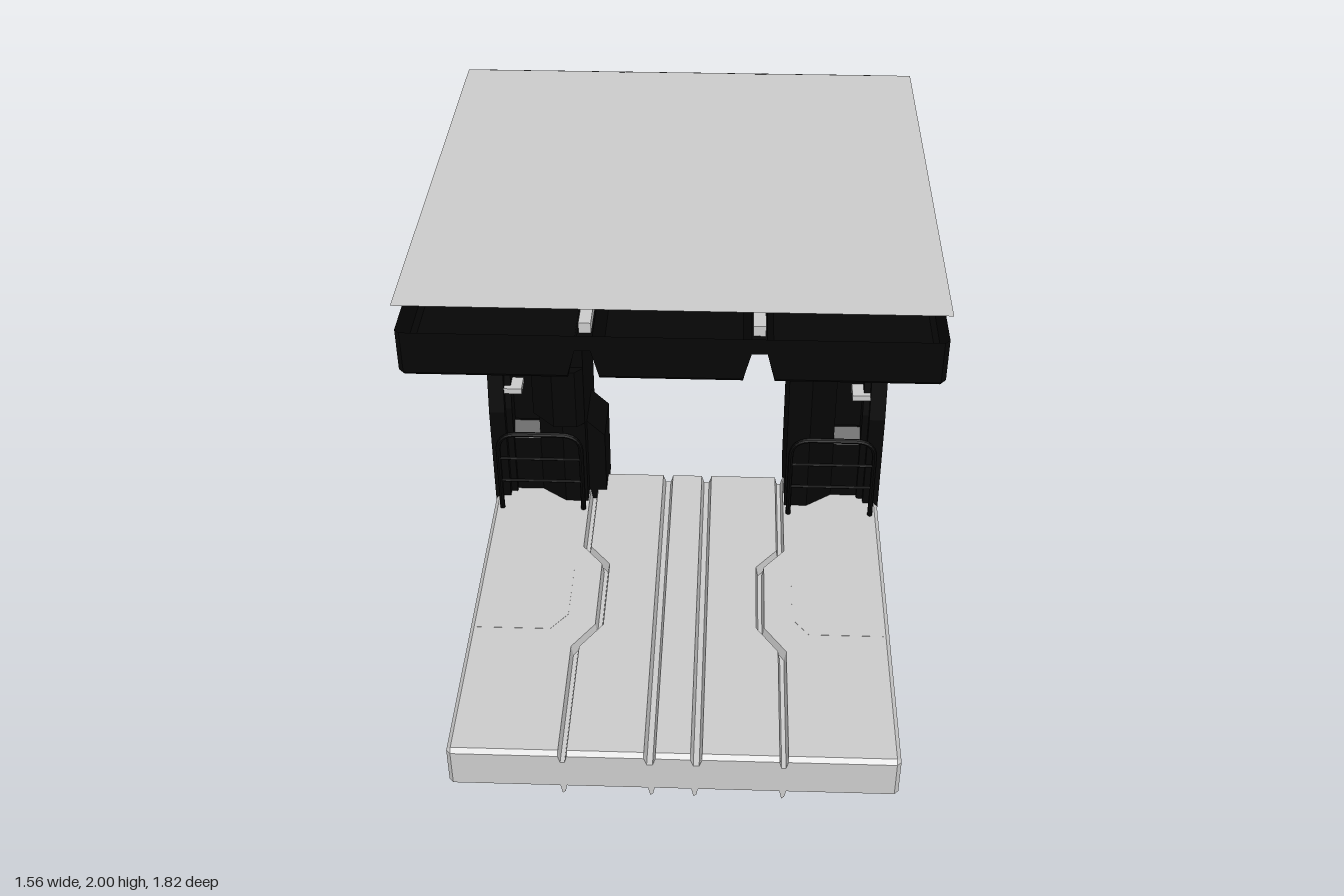
import * as THREE from 'three';

const grey = new THREE.MeshStandardMaterial({ color: 0xcccccc, side: THREE.DoubleSide, flatShading: true });
const black = new THREE.MeshStandardMaterial({ color: 0x060606, side: THREE.DoubleSide, flatShading: true });

export function createModel() {
  const model = new THREE.Group();

  const add = (name, geometry, material = black) => {
    const mesh = new THREE.Mesh(geometry, material);
    mesh.name = name;
    model.add(mesh);
  };
  // box given by its limits
  const box = (name, x0, x1, y0, y1, z0, z1, material) =>
    add(name, new THREE.BoxGeometry(x1 - x0, y1 - y0, z1 - z0)
      .translate((x0 + x1) / 2, (y0 + y1) / 2, (z0 + z1) / 2), material);
  const shapeOf = (pts) => new THREE.Shape(pts.map(([a, b]) => new THREE.Vector2(a, b)));
  const extrude = (pts, depth) => new THREE.ExtrudeGeometry(shapeOf(pts), { depth, bevelEnabled: false });
  // side profile of [z, y] points, drawn out along x
  const alongX = (pts, x0, x1) => extrude(pts, x1 - x0).rotateY(-Math.PI / 2).translate(x1, 0, 0);
  // plan of [x, z] points, drawn out along y
  const alongY = (pts, y0, y1) =>
    extrude(pts.map(([x, z]) => [x, -z]), y1 - y0).rotateX(-Math.PI / 2).translate(0, y0, 0);
  // skin over equal-length cross-sections
  const loft = (rings, closed) => {
    const n = rings[0].length, index = [];
    for (let i = 0; i < rings.length - 1; i++)
      for (let j = 0; j < (closed ? n : n - 1); j++) {
        const a = i * n + j, b = i * n + (j + 1) % n;
        index.push(a, b, a + n, b, b + n, a + n);
      }
    if (closed) for (const s of [0, (rings.length - 1) * n])
      for (let j = 1; j < n - 1; j++) s ? index.push(s, s + j, s + j + 1) : index.push(s, s + j + 1, s + j);
    const g = new THREE.BufferGeometry();
    g.setAttribute('position', new THREE.Float32BufferAttribute(rings.flat(2), 3));
    g.setIndex(index);
    const flat = g.toNonIndexed();
    flat.computeVertexNormals();
    return flat;
  };

  // Grooved tray: an open shell with clipped edges, its grooves running front to back
  const tray = (name, baseY, faceY, grooves, material) => {
    const up = Math.sign(faceY - baseY), c = 0.015;
    const section = (jog, drop) => {
      const face = faceY - up * drop, side = 0.78 - drop;
      const pts = [[-side, baseY], [-side, faceY - up * c], [-0.765, face]];
      for (const { x, w, d, bends } of grooves) {
        const cx = x - (bends ? Math.sign(x) * jog : 0);
        pts.push([cx - w, face], [cx - w / 2, faceY - up * d], [cx + w / 2, faceY - up * d], [cx + w, face]);
      }
      pts.push([0.765, face], [side, faceY - up * c], [side, baseY]);
      return pts;
    };
    const stations = [[-0.65, 0, c], [-0.635, 0, 0], [-0.17, 0, 0], [-0.07, 0.08, 0],
      [0.27, 0.08, 0], [0.39, 0, 0], [0.895, 0, 0], [0.91, 0, c]];
    add(name, loft(stations.map(([z, jog, drop]) => section(jog, drop).map(([x, y]) => [x, y, z])), false), material);
    for (const z of [-0.65, 0.91])
      add(name + 'End', new THREE.ShapeGeometry(shapeOf(section(0, c))).translate(0, 0, z), material);
  };
  tray('floor', 0.04, 0.2, [
    { x: -0.38, w: 0.015, d: 0.045, bends: true }, { x: -0.08, w: 0.02, d: 0.045 },
    { x: 0.08, w: 0.02, d: 0.045 }, { x: 0.38, w: 0.015, d: 0.045, bends: true }], grey);
  tray('ceiling', 1.91, 1.76, [{ x: -0.25, w: 0.045, d: 0.1 }, { x: 0.25, w: 0.045, d: 0.1 }], black);

  // Small fins below the floor and above the ceiling
  for (const x of [-0.38, -0.075, 0.075, 0.38])
    add('floorFin', new THREE.ShapeGeometry(shapeOf([[x - 0.012, 0.04], [x - 0.004, 0], [x + 0.006, 0.01], [x + 0.012, 0.04]]))
      .translate(0, 0, 0.909), grey);
  for (const x of [-0.25, 0.25]) {
    add('ceilingFin', new THREE.ShapeGeometry(shapeOf([[x - 0.04, 1.91], [x - 0.025, 2], [x + 0.025, 2], [x + 0.04, 1.91]]))
      .translate(0, 0, -0.65));
    box('ceilingStrip', x - 0.018, x + 0.018, 1.862, 1.895, -0.5, 0.82, grey);
  }
  add('roofSheet', new THREE.PlaneGeometry(1.56, 1.565).rotateX(-Math.PI / 2).translate(0, 1.999, 0.1275), grey);

  // Floor panels with clipped inner corners
  for (const s of [-1, 1])
    add('floorPanel', alongY([[0.755, 0.3], [0.48, 0.3], [0.42, 0.22], [0.42, -0.04], [0.48, -0.12], [0.755, -0.12]]
      .map(([x, z]) => [s * x, z]), 0.196, 0.201), grey);

  // Thin wall core with the doorway left open, and the ridge on top
  const arch = (w, top, r, bottom) => {
    const pts = [[w, bottom]];
    for (let i = 0; i <= 6; i++) {
      const a = i / 6 * Math.PI / 2;
      pts.push([w - r + r * Math.cos(a), top - r + r * Math.sin(a)]);
    }
    return [...pts, ...pts.map(([x, y]) => [-x, y]).reverse()];
  };
  const core = [[0.72, 0.14], [0.72, 1.8], [-0.72, 1.8], [-0.72, 0.14], ...arch(0.42, 1.2, 0.05, 0.14).reverse()];
  add('wallCore', extrude(core, 0.15).translate(0, 0, -0.73));
  box('topRidge', -0.72, 0.72, 1.76, 1.97, -0.72, -0.58);

  // Door frame: a bevelled band that follows the arch
  const inner = arch(0.4, 1.17, 0.04, 0.115);
  const face = arch(0.49, 1.27, 0.12, 0.115);
  const foot = arch(0.59, 1.32, 0.2, 0.115);
  add('doorFrame', loft(inner.map((p, i) => [
    [...p, -0.87], [...p, -0.456], [...face[i], -0.456], [...foot[i], -0.53], [...foot[i], -0.78], [...face[i], -0.87]]), true));

  // Waisted outer pillars with an inner step, plinths and recessed lights
  const pillar = [[-0.48, 0.14], [-0.48, 0.62], [-0.51, 0.83], [-0.51, 1.32], [-0.48, 1.5], [-0.48, 1.76], [-0.6, 1.81],
    [-0.83, 1.81], [-0.83, 1.5], [-0.80, 1.32], [-0.80, 0.83], [-0.83, 0.62], [-0.83, 0.115], [-0.63, 0.115], [-0.63, 0.14]];
  const step = pillar.map(([z, y]) => [-0.655 + (z + 0.655) * 0.83, y]);
  for (const s of [-1, 1]) {
    const span = (a, b) => (s > 0 ? [a, b] : [-b, -a]);
    add('pillar', alongX(pillar, ...span(0.72, 0.782)));
    add('pillarStep', alongX(step, ...span(0.695, 0.725)));
    add('plinth', alongX([[-0.53, 0.14], [-0.53, 0.46], [-0.57, 0.52], [-0.74, 0.52], [-0.78, 0.46], [-0.78, 0.14]], ...span(0.57, 0.71)));
    for (const y of [0.71, 1.16]) {
      box('frontSideLight', ...span(0.65, 0.72), y - 0.012, y + 0.012, -0.59, -0.5, grey);
      box('backSideLight', ...span(0.6, 0.67), y - 0.012, y + 0.012, -0.742, -0.72, grey);
    }
    // Slanted lights above the doorway on both faces
    for (let i = 0; i < 4; i++)
      for (const z of [-0.873, -0.457]) {
        const x = s * 0.128 + (i - 1.5) * 0.037;
        add('lintelLight', extrude([[x - 0.016, 1.245], [x - 0.012, 1.225], [x + 0.016, 1.225], [x + 0.012, 1.245]], 0.004)
          .translate(0, 0, z), grey);
      }
    // Arched guard rail in front of the pillar
    const z = -0.405, at = (x, y) => new THREE.Vector3(s * x, y, z);
    const path = new THREE.CurvePath();
    path.add(new THREE.LineCurve3(at(0.415, 0.2), at(0.415, 0.49)));
    path.add(new THREE.QuadraticBezierCurve3(at(0.415, 0.49), at(0.415, 0.57), at(0.495, 0.57)));
    path.add(new THREE.LineCurve3(at(0.495, 0.57), at(0.665, 0.57)));
    path.add(new THREE.QuadraticBezierCurve3(at(0.665, 0.57), at(0.745, 0.57), at(0.745, 0.49)));
    path.add(new THREE.LineCurve3(at(0.745, 0.49), at(0.745, 0.2)));
    add('guardRail', new THREE.TubeGeometry(path, 60, 0.01, 8));
    for (const y of [0.34, 0.45])
      add('guardRailBar', new THREE.CylinderGeometry(0.006, 0.006, 0.33, 8).rotateZ(Math.PI / 2).translate(s * 0.58, y, z));
  }

  // Pipes with brackets across the upper wall, front and back
  for (const z of [-0.56, -0.75]) {
    add('pipe', new THREE.CylinderGeometry(0.022, 0.022, 1.42, 12).rotateZ(Math.PI / 2).translate(0, 1.665, z));
    for (const x of [-0.69, -0.345, 0.345, 0.69])
      box('pipeBracket', x - 0.035, x + 0.035, 1.62, 1.71, z - 0.027, z + 0.027);
  }

  // Equipment box and foot block on one leg only
  add('legBox', alongY([[-0.4, -0.45], [-0.43, -0.42], [-0.52, -0.42], [-0.61, -0.51], [-0.61, -0.79],
    [-0.51, -0.905], [-0.43, -0.905], [-0.4, -0.87]], 0.6, 0.86));
  add('footBlock', extrude([[-0.45, 0.14], [-0.33, 0.14], [-0.33, 0.48], [-0.4, 0.55], [-0.45, 0.55]], 0.22).translate(0, 0, -0.75));

  return model;
}
